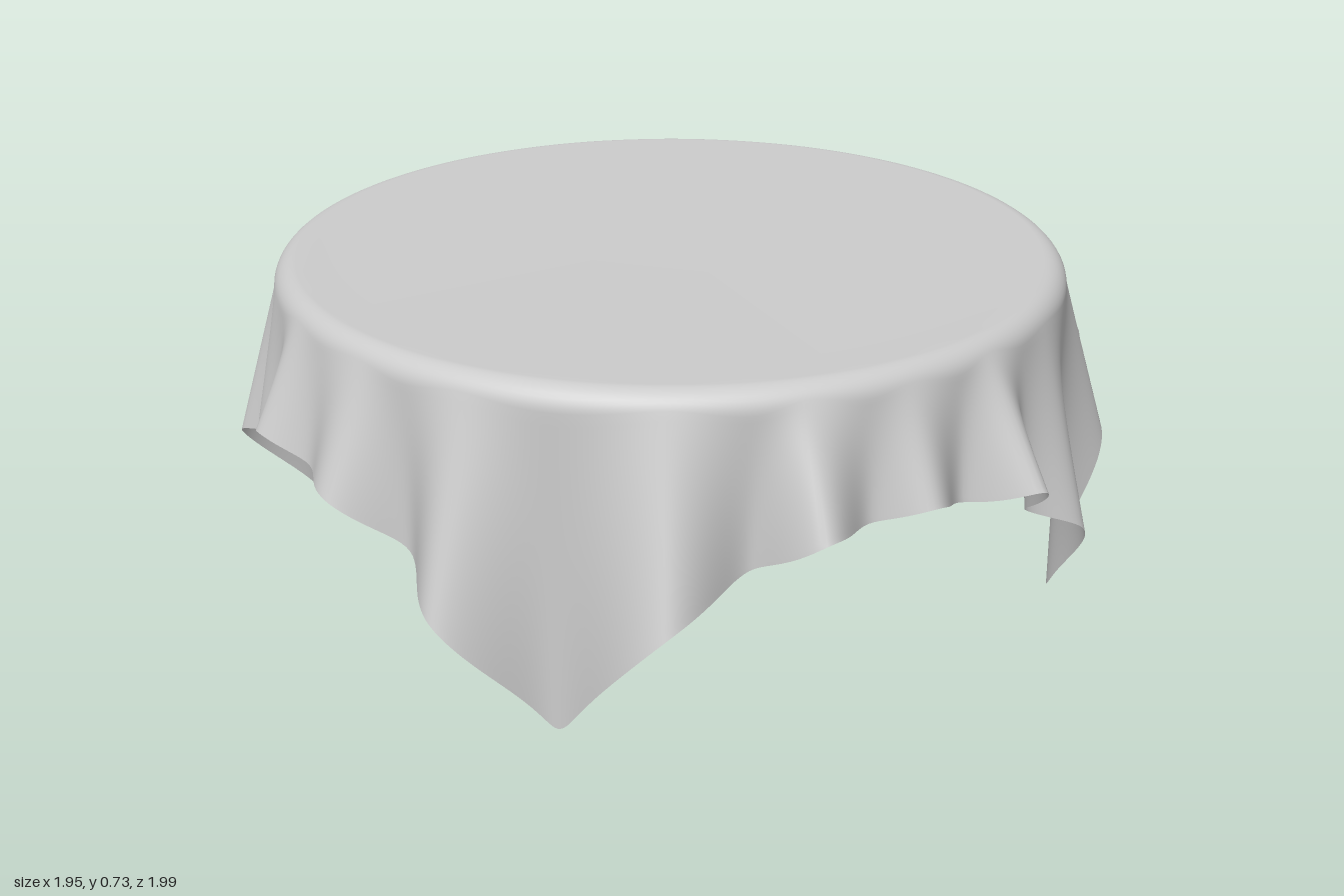
import * as THREE from 'three';

const DEG = Math.PI / 180;
const TOP = 0.772, FLAT = 0.815, BEND = 0.05; // table-top height, flat radius, rim rounding
const HALF = 1.14, TURN = 5.5;                // half side of the square cloth, its rotation

// hem outline as [angle in degrees from +x towards +z, radius]: folds and hollows alternate
const HEM = [
  [-176, 0.852], [-162, 0.955], [-156, 0.875], [-145.7, 0.99], [-139.5, 0.905], [-132, 0.945],
  [-126, 0.89], [-116.5, 0.99], [-106.6, 0.875], [-97.4, 1.005], [-87, 0.885], [-70, 1.03],
  [-62.5, 0.885], [-52, 0.95], [-45.5, 1.04], [-34, 0.89], [-23, 0.99], [-15, 0.895],
  [-9, 0.985], [5, 0.87], [17.7, 0.977], [26, 0.895], [33.5, 1.008], [40.5, 0.886],
  [48.2, 0.953], [55, 0.886], [63.3, 0.98], [70.7, 0.865], [81.7, 1.0], [96, 0.868],
  [107.7, 1.0], [117, 0.875], [125.7, 0.967], [134.5, 0.91], [142.6, 0.965], [149.6, 0.89],
  [156.7, 0.92], [165, 0.867], [172, 0.985], [184, 0.852],
];

function hemRadius(deg) {
  const k = HEM.findIndex((p, i) => i > 0 && deg <= p[0]);
  const [a0, r0] = HEM[k - 1], [a1, r1] = HEM[k];
  return THREE.MathUtils.lerp(r0, r1, THREE.MathUtils.smoothstep(deg, a0, a1));
}

// distance from the middle of the square cloth to its edge, with softened corners
function clothReach(deg) {
  const off = ((deg - TURN + 405) % 90) - 45; // angle from the nearest corner
  return HALF / Math.cos((45 - Math.hypot(off, 1.5)) * DEG);
}

// point on one radial line of cloth: flat top, rounded rim, then the hanging fold
function profile(deg) {
  const hem = hemRadius(deg);
  const length = clothReach(deg) - FLAT - BEND * 1.57;
  const lean = Math.asin(Math.min(0.8, Math.max(0, hem - FLAT - BEND) / length));
  const sweep = Math.PI / 2 - lean;
  const points = [0.2, 0.4, 0.6, 0.72, 0.78].map((r) => [r, TOP - 0.004 * (1 - r)]);
  for (let i = 0; i <= 8; i++) {
    const a = (sweep * i) / 8;
    points.push([FLAT + BEND * Math.sin(a), TOP - BEND * (1 - Math.cos(a))]);
  }
  const [r0, y0] = points[points.length - 1];
  const drop = Math.sqrt(length * length - (hem - r0) ** 2);
  for (let i = 1; i <= 24; i++) {
    const u = i / 24;
    points.push([r0 + (hem - r0) * u, Math.max(0, y0 - drop * u)]);
  }
  return points;
}

function clothGeometry(columns = 540) {
  const positions = [0, TOP - 0.004, 0], index = [];
  let rings = 0;
  for (let i = 0; i < columns; i++) {
    const deg = -176 + (360 * i) / columns;
    const line = profile(deg);
    rings = line.length;
    for (const [r, y] of line) positions.push(r * Math.cos(deg * DEG), y, r * Math.sin(deg * DEG));
  }
  for (let i = 0; i < columns; i++) {
    const a = 1 + i * rings, b = 1 + ((i + 1) % columns) * rings;
    index.push(0, b, a);
    for (let j = 0; j < rings - 1; j++) {
      index.push(a + j, b + j, a + j + 1, b + j, b + j + 1, a + j + 1);
    }
  }
  const geometry = new THREE.BufferGeometry();
  geometry.setAttribute('position', new THREE.Float32BufferAttribute(positions, 3));
  geometry.setIndex(index);
  geometry.computeVertexNormals();
  return geometry;
}

export function createModel() {
  const group = new THREE.Group();
  group.name = 'drapedTablecloth';
  const material = new THREE.MeshStandardMaterial({ color: 0xcccccc, side: THREE.DoubleSide });
  const cloth = new THREE.Mesh(clothGeometry(), material);
  cloth.name = 'tablecloth';
  group.add(cloth);
  return group;
}
